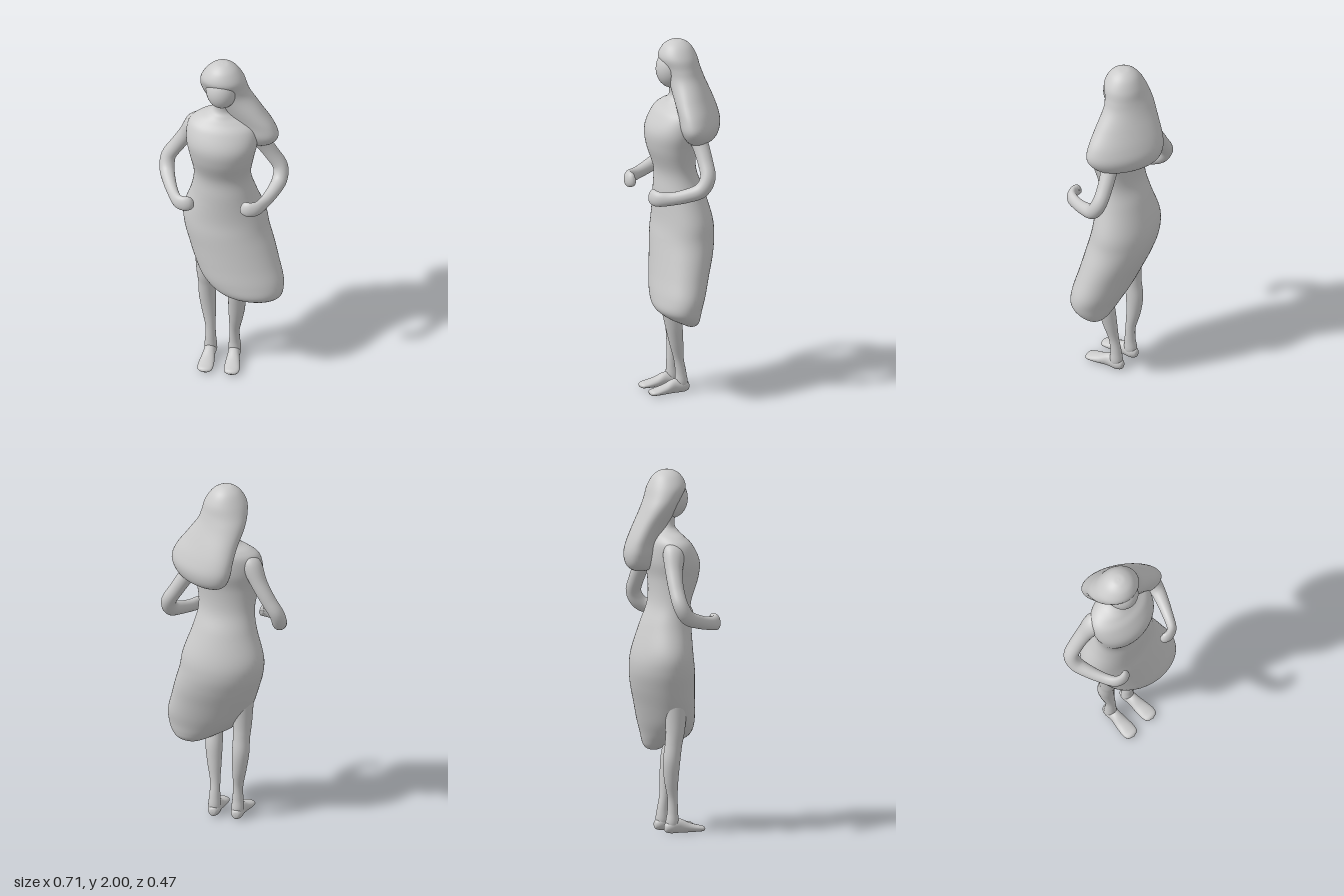
import * as THREE from 'three';

const material = new THREE.MeshStandardMaterial({ color: 0xcccccc });

// Smooth closed loft. Each row is [x, y, z, radiusA, radiusB, turn].
// With flatNormal all rings stay parallel, otherwise they follow the path.
function loft(name, rows, flatNormal, sides = 40, steps = 6) {
  const spline = points => new THREE.CatmullRomCurve3(points, false, 'catmullrom', 0.5);
  const path = spline(rows.map(r => new THREE.Vector3(r[0], r[1], r[2])));
  const size = spline(rows.map(r => new THREE.Vector3(r[3], r[4] ?? r[3], r[5] ?? 0)));
  const rings = (rows.length - 1) * steps;
  const positions = [], indices = [];
  const u = new THREE.Vector3(1, 0, 0);
  for (let i = 0; i <= rings; i++) {
    const k = i / rings, c = path.getPoint(k), s = size.getPoint(k);
    const t = flatNormal ?? path.getTangent(k);
    u.addScaledVector(t, -u.dot(t)).normalize();
    const v = new THREE.Vector3().crossVectors(t, u);
    const ra = Math.max(s.x, 0.0005), rb = Math.max(s.y, 0.0005);
    for (let j = 0; j < sides; j++) {
      const a = (j / sides) * Math.PI * 2;
      const p = ra * Math.cos(a), q = rb * Math.sin(a);
      const cos = Math.cos(s.z), sin = Math.sin(s.z);
      const point = c.clone().addScaledVector(u, p * cos - q * sin).addScaledVector(v, p * sin + q * cos);
      positions.push(point.x, point.y, point.z);
      if (i < rings) {
        const n = (j + 1) % sides, o = i * sides;
        indices.push(o + j, o + n, o + sides + j, o + n, o + sides + n, o + sides + j);
      }
    }
  }
  const geometry = new THREE.BufferGeometry();
  geometry.setAttribute('position', new THREE.Float32BufferAttribute(positions, 3));
  geometry.setIndex(indices);
  geometry.computeVertexNormals();
  const mesh = new THREE.Mesh(geometry, material);
  mesh.name = name;
  return mesh;
}

export function createModel() {
  const group = new THREE.Group();
  group.name = 'woman';
  const down = new THREE.Vector3(0, -1, 0);
  const forward = new THREE.Vector3(0, 0, 1);

  // Neck, torso and windblown skirt: [x, y, half width, front z, back z]
  const body = [
    [0, 1.78, 0.045, 0.05, -0.045],
    [0, 1.70, 0.05, 0.04, -0.055],
    [0, 1.665, 0.08, 0.058, -0.08],
    [0, 1.635, 0.145, 0.083, -0.1],
    [0, 1.59, 0.19, 0.125, -0.115],
    [0, 1.5, 0.196, 0.17, -0.115],
    [0, 1.4, 0.176, 0.163, -0.095],
    [0, 1.27, 0.157, 0.122, -0.098],
    [0.005, 1.15, 0.178, 0.125, -0.14],
    [0.008, 1.0, 0.226, 0.13, -0.182],
    [0.02, 0.9, 0.234, 0.145, -0.187],
    [0.05, 0.8, 0.235, 0.158, -0.165],
    [0.082, 0.7, 0.232, 0.172, -0.13],
    [0.12, 0.6, 0.222, 0.187, -0.095],
    [0.155, 0.53, 0.187, 0.185, -0.067],
    [0.185, 0.485, 0.14, 0.14, -0.05],
    [0.205, 0.452, 0.09, 0.075, -0.035],
    [0.21, 0.432, 0.045, 0.035, -0.015],
    [0.21, 0.427, 0, 0.01, 0.01],
  ];
  group.add(loft('bodyAndDress', body.map(([x, y, w, f, b]) =>
    [x, y, (f + b) / 2, w, (f - b) / 2]), down, 56));

  // Face
  const head = new THREE.Mesh(new THREE.SphereGeometry(1, 40, 28), material);
  head.name = 'head';
  head.scale.set(0.087, 0.108, 0.09);
  head.position.set(0, 1.838, 0.027);
  group.add(head);

  // Long hair swept back and over the left shoulder
  group.add(loft('hair', [
    [0, 2.0, 0, 0, 0, 0],
    [0, 1.994, 0, 0.038, 0.038, 0],
    [0, 1.965, 0, 0.08, 0.078, 0],
    [0, 1.91, -0.004, 0.117, 0.105, 0.1],
    [0.002, 1.85, -0.025, 0.133, 0.102, 0.25],
    [0.015, 1.79, -0.045, 0.148, 0.1, 0.4],
    [0.058, 1.7, -0.066, 0.18, 0.1, 0.55],
    [0.098, 1.61, -0.084, 0.213, 0.1, 0.58],
    [0.114, 1.54, -0.092, 0.22, 0.102, 0.58],
    [0.11, 1.48, -0.1, 0.185, 0.085, 0.58],
    [0.104, 1.448, -0.1, 0.12, 0.055, 0.58],
    [0.1, 1.438, -0.1, 0, 0, 0.58],
  ], down, 48));

  for (const side of [-1, 1]) {
    const word = side > 0 ? 'left' : 'right';

    // Arm bent at the elbow, flat hand curled in front of the waist
    group.add(loft(word + 'Arm', [
      [0.125, 1.6, -0.015, 0.02, 0.04],
      [0.155, 1.555, -0.03, 0.053, 0.06],
      [0.205, 1.46, -0.052, 0.045, 0.047],
      [0.26, 1.37, -0.062, 0.041, 0.042],
      [0.308, 1.29, -0.058, 0.041, 0.042],
      [0.31, 1.225, -0.018, 0.041, 0.042],
      [0.285, 1.195, 0.055, 0.035, 0.038],
      [0.252, 1.177, 0.13, 0.029, 0.036],
      [0.22, 1.172, 0.188, 0.026, 0.041],
      [0.183, 1.173, 0.209, 0.023, 0.043],
      [0.153, 1.176, 0.205, 0.021, 0.04],
      [0.141, 1.178, 0.191, 0.013, 0.03],
      [0.139, 1.179, 0.183, 0, 0],
    ].map(([x, ...rest]) => [side * x, ...rest]), null, 28));

    // Left knee is bent forward, right leg stands straight
    const bend = side > 0 ? 1 : 0;
    group.add(loft(word + 'Leg', [
      [side * 0.09, 0.85, 0.01, 0.07],
      [side * 0.09, 0.6, 0.01 + bend * 0.07, 0.054],
      [side * 0.088, 0.5, bend * 0.075, 0.047],
      [side * 0.086, 0.4, -0.012 + bend * 0.065, 0.047],
      [side * 0.078, 0.3, -0.01 + bend * 0.045, 0.039],
      [side * 0.068, 0.2, 0.002 + bend * 0.015, 0.028],
      [side * 0.066, 0.12, 0.004, 0.03],
      [side * 0.066, 0.06, 0, 0.035],
      [side * 0.066, 0.02, -0.002, 0.025],
    ], null, 28));

    // Foot from heel to toes
    group.add(loft(word + 'Foot', [
      [0.066, 0.036, -0.045, 0, 0],
      [0.066, 0.036, -0.039, 0.02, 0.022],
      [0.066, 0.04, -0.01, 0.034, 0.036],
      [0.067, 0.043, 0.045, 0.033, 0.039],
      [0.07, 0.031, 0.1, 0.04, 0.027],
      [0.073, 0.024, 0.15, 0.043, 0.019],
      [0.073, 0.021, 0.18, 0.033, 0.014],
      [0.073, 0.02, 0.193, 0, 0],
    ].map(([x, ...rest]) => [side * x, ...rest]), forward, 28));
  }
  return group;
}
